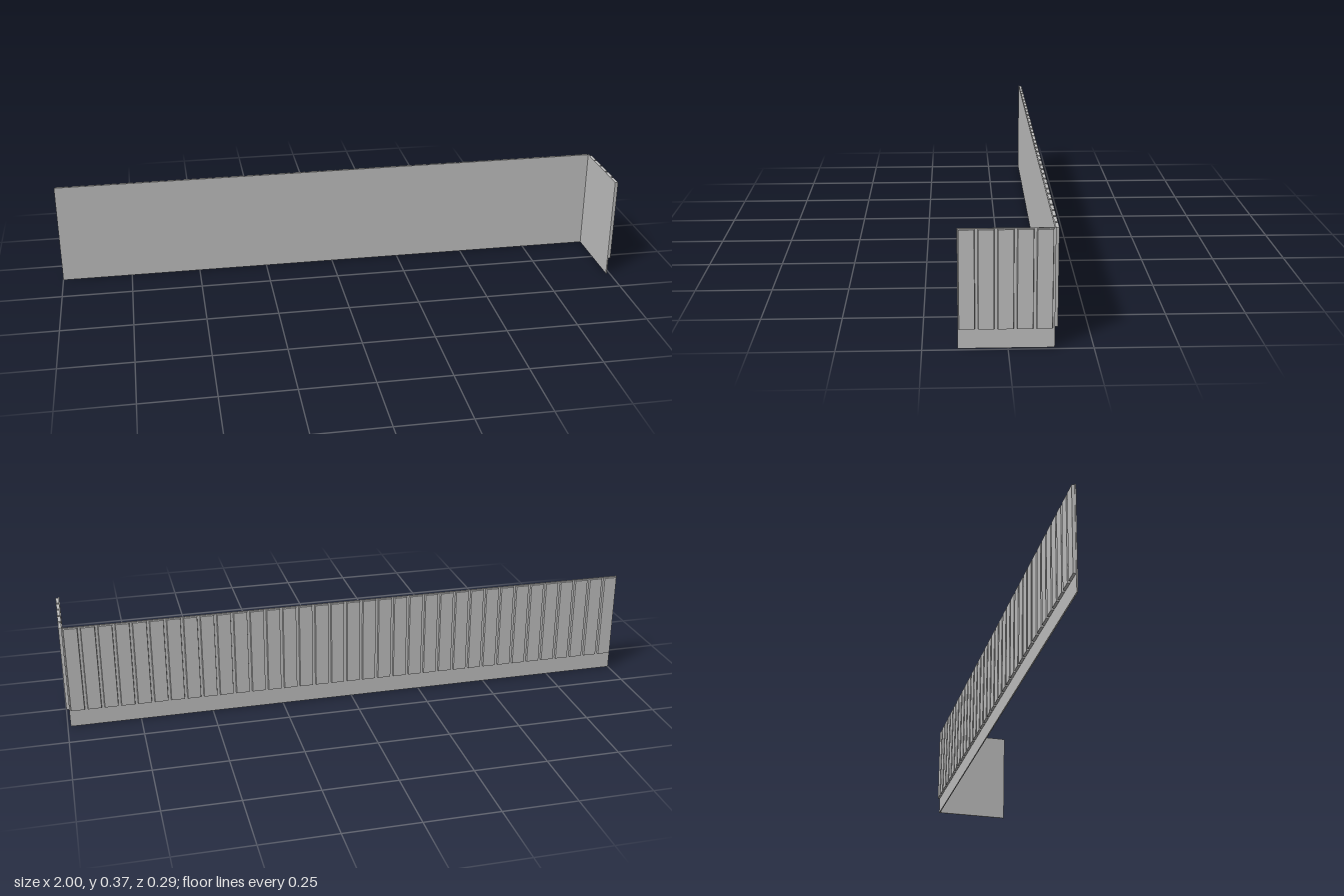
import * as THREE from 'three';

const T = 0.004;      // sheet thickness
const DEPTH = 0.009;  // rib depth
const RIB_LOW = 0.062, RIB_HIGH = 0.364, HEIGHT = 0.366, PLINTH = 0.058;

// Wall running along local +x from 0, with its outer side facing local +z
function wall(name, length, count, pitch, start, steel) {
  const group = new THREE.Group();
  group.name = name;

  const add = (geometry, part) => {
    const mesh = new THREE.Mesh(geometry, steel);
    mesh.name = part;
    group.add(mesh);
    return mesh;
  };

  // Flat plinth strip and backing sheet
  add(new THREE.BoxGeometry(length, PLINTH, T), 'plinth')
    .position.set(length / 2, PLINTH / 2, -T / 2);
  add(new THREE.BoxGeometry(length, HEIGHT - PLINTH, T), 'backingSheet')
    .position.set(length / 2, (HEIGHT + PLINTH) / 2, -T / 2);

  // Raised trapezoid panel, extruded upward
  const profile = new THREE.Shape([
    new THREE.Vector2(-0.0015, 0),
    new THREE.Vector2(0, -DEPTH),
    new THREE.Vector2(0.045, -DEPTH),
    new THREE.Vector2(0.0465, 0),
  ]);
  const panel = new THREE.ExtrudeGeometry(profile, { depth: RIB_HIGH - RIB_LOW, bevelEnabled: false });
  panel.rotateX(-Math.PI / 2);
  for (let i = 0; i < count; i++) {
    add(panel, 'raisedPanel').position.set(start + i * pitch, RIB_LOW, 0);
  }
  return group;
}

export function createModel() {
  const steel = new THREE.MeshStandardMaterial({ color: 0xc0c0c0 });
  steel.name = 'grey steel';
  const model = new THREE.Group();
  model.name = 'corrugatedFence';

  // Long wall across the back, ribs facing backward
  const back = wall('backWall', 1.99, 35, 0.0569, 0.006, steel);
  back.rotation.y = Math.PI;
  back.position.set(0.99, 0, -0.136);

  // Short return wall on the left end, ribs facing outward
  const side = wall('sideWall', 0.282, 5, 0.0563, 0.004, steel);
  side.rotation.y = Math.PI / 2;
  side.position.set(0.99, 0, 0.146);

  model.add(back, side);
  return model;
}
